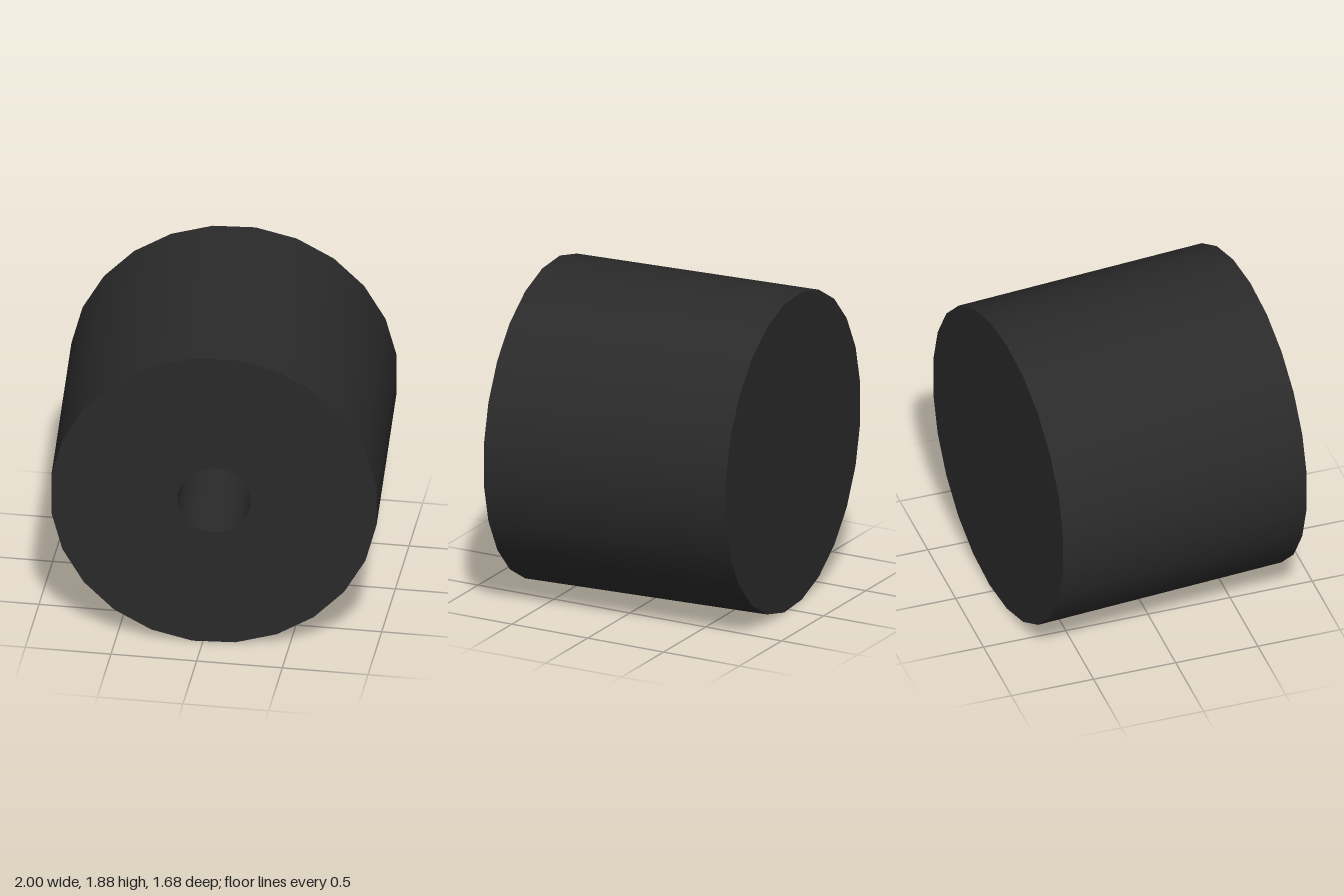
import * as THREE from 'three';
import { toCreasedNormals } from 'three/addons/utils/BufferGeometryUtils.js';

const SIDES = 24;
const RADIUS = 0.948;
const HALF_LENGTH = 0.765;
const BORE_RADIUS = 0.213;
const BORE_DEPTH = 1.34;
const YAW = THREE.MathUtils.degToRad(4.73);

export function createModel() {
  const model = new THREE.Group();
  model.name = 'boredCylinder';

  // Closed profile: back face, outer wall, front face, blind bore, bore floor
  const floor = HALF_LENGTH - BORE_DEPTH;
  const profile = [
    [0, -HALF_LENGTH],
    [RADIUS, -HALF_LENGTH],
    [RADIUS, HALF_LENGTH],
    [BORE_RADIUS, HALF_LENGTH],
    [BORE_RADIUS, floor],
    [0, floor],
  ].map(([r, h]) => new THREE.Vector2(r, h));

  // Start half a facet round so flats lie at the top, bottom and sides
  const lathe = new THREE.LatheGeometry(profile, SIDES, Math.PI / SIDES);
  lathe.rotateX(Math.PI / 2);
  const geometry = toCreasedNormals(lathe, Math.PI / 6);

  const body = new THREE.Mesh(geometry, new THREE.MeshStandardMaterial({ color: 0x2a2a2a }));
  body.name = 'cylinderBody';
  body.position.y = RADIUS * Math.cos(Math.PI / SIDES);
  body.rotation.y = YAW; // slight turn of the axis towards +x
  model.add(body);

  return model;
}
